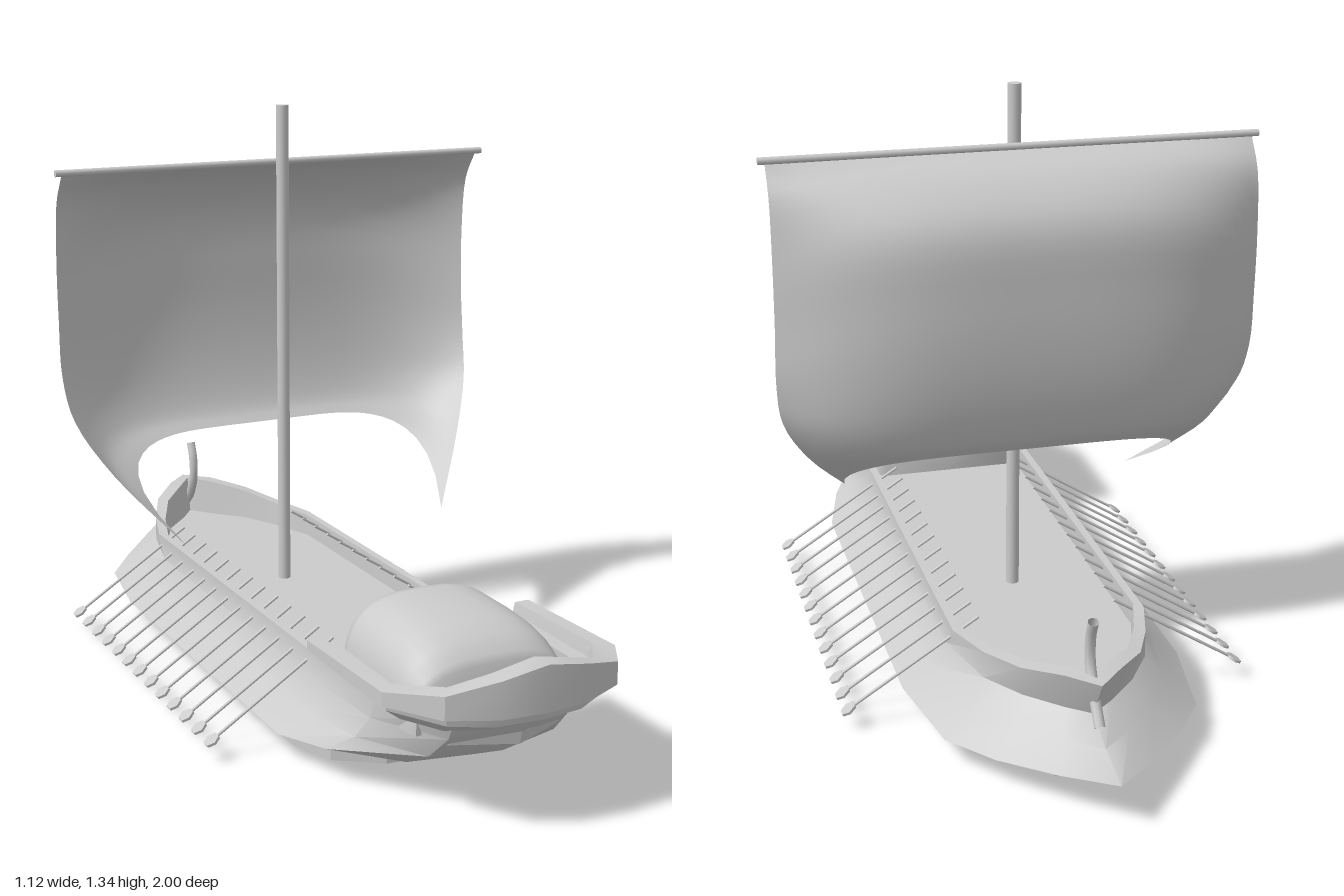
import * as THREE from 'three';
import { toCreasedNormals } from 'three/addons/utils/BufferGeometryUtils.js';

const solid = new THREE.MeshStandardMaterial({ color: 0xcccccc });
const open = new THREE.MeshStandardMaterial({ color: 0xcccccc, side: THREE.DoubleSide });

// Surface through equal-length rows of [x, y, z] points
function loft(rows, crease = 0.6) {
  const n = rows[0].length;
  const index = [];
  for (let r = 0; r < rows.length - 1; r++) {
    for (let k = 0; k < n - 1; k++) {
      const a = r * n + k, b = a + n;
      index.push(a, b, a + 1, a + 1, b, b + 1);
    }
  }
  const geo = new THREE.BufferGeometry();
  geo.setAttribute('position', new THREE.Float32BufferAttribute(rows.flat(2), 3));
  geo.setIndex(index);
  geo.computeVertexNormals();
  return toCreasedNormals(geo, crease);
}

// Half row on the +x side, ending on the centre line, completed by its mirror image
const mirror = (half) => [
  ...half,
  ...half.slice(0, -1).reverse().map(([x, y, z]) => [-x, y, z]),
];

// Horizontal outline from [x, z] pairs; lies flat after rotateX(-PI / 2)
const outline = (pts, k = 1) => pts.map(([x, z]) => new THREE.Vector2(x * k, -z * k));

function add(parent, name, geometry, material = solid) {
  const mesh = new THREE.Mesh(geometry, material);
  mesh.name = name;
  parent.add(mesh);
  return mesh;
}

function cylinder(r, length, sides) {
  return new THREE.CylinderGeometry(r, r, length, sides);
}

// Hull levels, each from the bow centre round to the stern centre
const keelLine = [[0, .03, -.79], [.07, .03, -.78], [.14, .03, -.72], [.2, .03, -.64], [.26, .03, -.45],
  [.26, .03, .4], [.22, .03, .5], [.12, .03, .57], [0, .03, .58]];
const chine = [[0, .1, -1], [.1, .08, -.9], [.2, .065, -.79], [.28, .06, -.68], [.32, .06, -.45],
  [.32, .06, .45], [.28, .08, .6], [.15, .07, .71], [0, .065, .73]];
const lowerSide = [[0, .125, -.9], [.07, .12, -.84], [.15, .11, -.76], [.22, .11, -.65], [.26, .11, -.45],
  [.26, .11, .45], [.24, .12, .65], [.15, .12, .8], [0, .12, .84]];
const upperSide = [[0, .16, -.82], [.05, .16, -.78], [.12, .16, -.71], [.18, .16, -.62], [.222, .16, -.45],
  [.222, .16, .45], [.22, .17, .68], [.14, .18, .86], [0, .18, .9]];
const rail = [[0, .25, -.87], [.06, .25, -.81], [.13, .235, -.73], [.18, .22, -.62], [.218, .215, -.5],
  [.218, .215, .45], [.218, .225, .7], [.15, .24, .9], [0, .24, .96]];

function buildHull(ship) {
  const railInner = rail.map(([x, y, z]) => [Math.max(0, x - .018), y, z * .96]);
  const deckEdge = rail.map(([x, , z]) => [Math.max(0, x - .018), .16, z * .94]);
  const rows = [keelLine, chine, lowerSide, upperSide, rail, railInner, deckEdge];
  add(ship, 'hull', loft(rows.map(mirror), .7), open);

  // Keel rim, open underneath
  const ring = mirror(keelLine).map(([x, , z]) => [x, z]);
  const shape = new THREE.Shape(outline(ring));
  shape.holes.push(new THREE.Path(outline(ring, .94)));
  const keel = new THREE.ExtrudeGeometry(shape, { depth: .03, bevelEnabled: false });
  add(ship, 'keelRim', keel.rotateX(-Math.PI / 2));

  const deck = mirror(deckEdge).map(([x, , z]) => [x, z]);
  const deckGeo = new THREE.ShapeGeometry(new THREE.Shape(outline(deck)));
  add(ship, 'deck', deckGeo.rotateX(-Math.PI / 2).translate(0, .16, 0), open);

  // Curled stem post
  const curl = new THREE.CatmullRomCurve3([[.15, -.86], [.19, -.83], [.26, -.79], [.32, -.79], [.36, -.805]]
    .map(([y, z]) => new THREE.Vector3(0, y, z)));
  add(ship, 'stemPost', new THREE.TubeGeometry(curl, 16, .012, 8), open);
}

function buildStern(ship) {
  // Stepped bulwark running round the stern, higher at the middle
  const rows = [
    [[.25, .24, .5], [.25, .24, .8], [.18, .24, .92], [.1, .24, .965], [0, .24, .975]],
    [[.25, .262, .5], [.25, .262, .81], [.185, .262, .925], [.1, .262, .97], [0, .262, .98]],
    [[.275, .265, .5], [.275, .265, .83], [.2, .265, .945], [.1, .265, .99], [0, .265, 1]],
    [[.275, .285, .5], [.275, .295, .83], [.2, .315, .945], [.1, .345, .99], [0, .365, 1]],
    [[.24, .285, .5], [.24, .295, .8], [.17, .312, .9], [.09, .34, .935], [0, .362, .945]],
    [[.235, .262, .5], [.235, .262, .79], [.165, .262, .89], [.09, .262, .92], [0, .262, .925]],
    [[.2, .262, .5], [.2, .262, .77], [.15, .262, .86], [.08, .262, .89], [0, .262, .9]],
    [[.2, .2, .5], [.2, .2, .77], [.15, .2, .86], [.08, .2, .89], [0, .2, .9]],
  ];
  rows.push(rows[0]);
  add(ship, 'sternBulwark', loft(rows.map(mirror), .5), open);
  for (const s of [1, -1]) {
    const cap = new THREE.Shape(rows.slice(0, -1).map((r) => new THREE.Vector2(s * r[0][0], r[0][1])));
    add(ship, 'bulwarkEnd', new THREE.ShapeGeometry(cap).translate(0, 0, .5), open);
  }

  // Cabin with a barrel roof: [z, half width, roof height]
  const ribs = [[.475, 0, .17], [.475, .165, .34], [.485, .182, .355], [.51, .19, .36], [.62, .19, .36],
    [.7, .19, .354], [.75, .19, .338], [.79, .187, .31], [.8, .18, .295], [.8, 0, .17]];
  const cabin = ribs.map(([z, w, top]) => Array.from({ length: 19 }, (_, i) => {
    const a = Math.PI * i / 18, c = Math.cos(a);
    return [w * Math.sign(c) * Math.abs(c) ** .65, .17 + (top - .17) * Math.sin(a) ** .65, z];
  }));
  add(ship, 'cabin', loft(cabin, .9), open);
}

function buildRig(ship) {
  add(ship, 'mast', cylinder(.015, 1.19, 16)).position.set(0, .745, -.195);
  const yard = add(ship, 'yard', cylinder(.008, 1.12, 10));
  yard.rotation.z = Math.PI / 2;
  yard.position.set(0, 1.205, -.212);

  // Sail: middle line and side edge curves, blended across the width
  const curve = (pts) => new THREE.CatmullRomCurve3(pts.map((p) => new THREE.Vector3(...p)));
  const middle = curve([[0, 1.2, -.212], [0, 1.16, -.3], [0, 1.07, -.375], [0, .92, -.386],
    [0, .76, -.38], [0, .64, -.36], [0, .57, -.335], [0, .54, -.31]]);
  const edge = curve([[.545, 1.2, -.212], [.545, 1.13, -.255], [.545, 1, -.27], [.545, .85, -.268],
    [.545, .72, -.255], [.53, .62, -.22], [.465, .5, -.14], [.34, .35, 0]]);
  const rows = [];
  for (let i = 0; i <= 28; i++) {
    const v = i / 28, m = middle.getPoint(v), e = edge.getPoint(v);
    const power = 3 + 5 * v ** 3;
    rows.push(Array.from({ length: 49 }, (_, k) => {
      const u = k / 24 - 1, a = Math.abs(u), t = a ** power;
      const spread = 1.5 * v ** 6 * a ** 6 * (1 - a) * Math.sign(u);
      return [u * e.x + spread, m.y + (e.y - m.y) * t, m.z + (e.z - m.z) * t];
    }));
  }
  add(ship, 'sail', loft(rows, 1), open);
}

function buildOars(ship) {
  const length = .346;
  const shaft = cylinder(.0035, length, 6).rotateZ(Math.PI / 2).translate(length / 2, 0, 0);
  const blade = cylinder(.019, .006, 6).translate(length, 0, 0);
  for (let i = 0; i < 13; i++) {
    for (const s of [1, -1]) {
      const oar = new THREE.Group();
      oar.name = s > 0 ? 'leftOar' : 'rightOar';
      const tilt = new THREE.Group();
      tilt.rotation.z = Math.atan2(-.185, .292);
      add(tilt, 'oarShaft', shaft);
      add(tilt, 'oarBlade', blade);
      oar.add(tilt);
      oar.rotation.y = s > 0 ? 0 : Math.PI;
      oar.position.set(s * .155, .23, .384 - i * .072);
      ship.add(oar);
    }
  }
}

export function createModel() {
  const ship = new THREE.Group();
  ship.name = 'galley';
  buildHull(ship);
  buildStern(ship);
  buildRig(ship);
  buildOars(ship);
  return ship;
}
